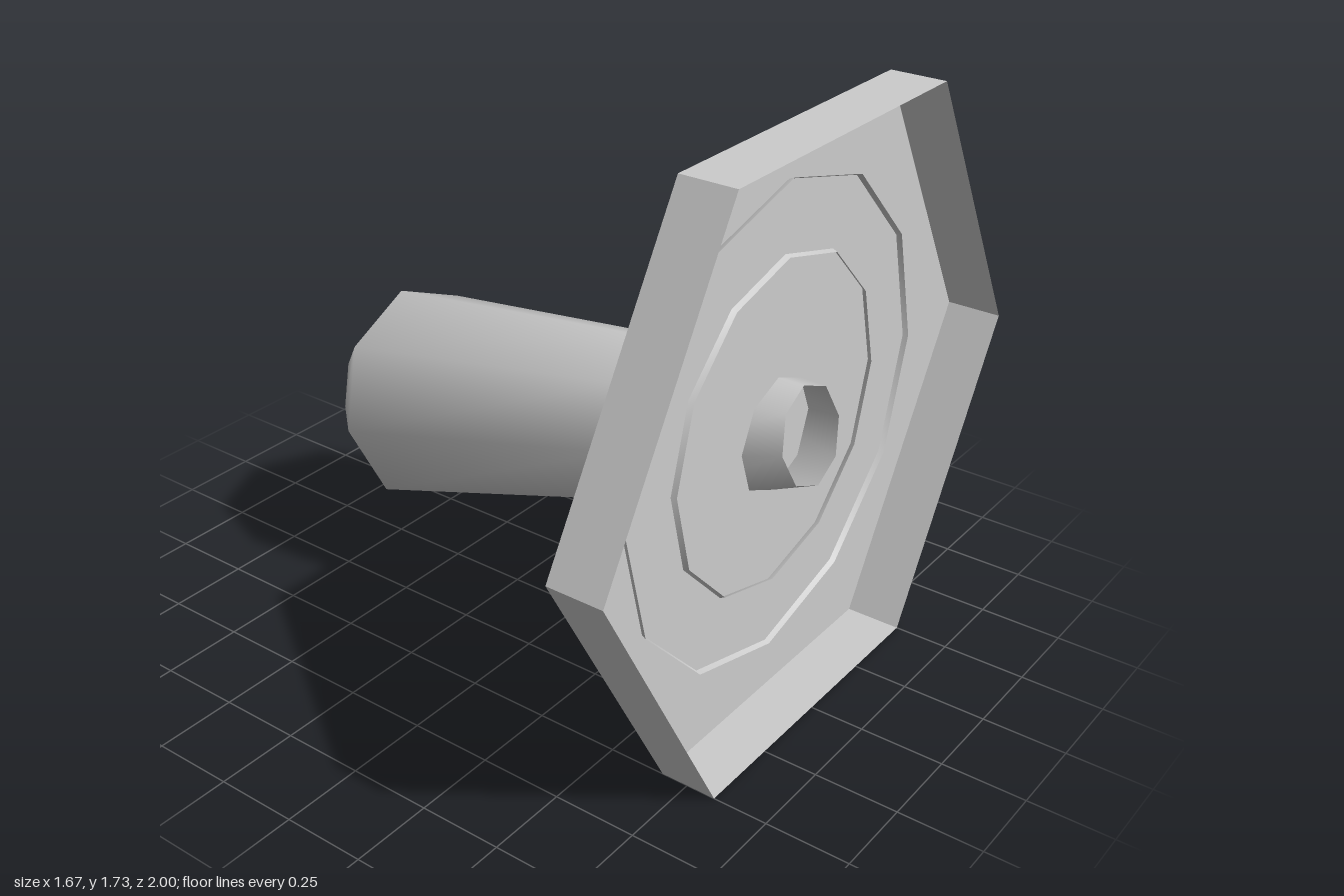
import * as THREE from 'three';

const HUB_Y = 0.866; // height of the plate's centre
const FLOOR_X = 0.67, RIM_X = 0.837;

function material(flatShading) {
  return new THREE.MeshStandardMaterial({ color: 0xcccccc, side: THREE.DoubleSide, flatShading });
}

function addMesh(group, name, geometry, flat = false) {
  const mesh = new THREE.Mesh(geometry, material(flat));
  mesh.name = name;
  group.add(mesh);
  return mesh;
}

export function createModel() {
  const model = new THREE.Group();
  model.name = 'handleOnPlate';

  // Six-sided tray, open towards +x
  const tray = new THREE.Group();
  tray.name = 'tray';
  model.add(tray);
  const depth = RIM_X - FLOOR_X;
  const wall = new THREE.CylinderGeometry(1, 1, depth, 6, 1, true);
  wall.rotateZ(-Math.PI / 2).translate(FLOOR_X + depth / 2, HUB_Y, 0);
  addMesh(tray, 'trayWall', wall, true);
  const floor = new THREE.CircleGeometry(1, 6);
  floor.rotateY(-Math.PI / 2).translate(FLOOR_X, HUB_Y, 0);
  addMesh(tray, 'trayFloor', floor, true);

  // Half-round ring on the back of the floor, its lips just piercing it
  const ringProfile = [];
  for (let i = 0; i <= 4; i++) {
    const a = Math.PI * (1 - i / 4);
    ringProfile.push(new THREE.Vector2(0.6 + 0.11 * Math.cos(a), 0.685 - 0.11 * Math.sin(a)));
  }
  const ring = new THREE.LatheGeometry(ringProfile, 12);
  ring.rotateZ(-Math.PI / 2).translate(0, HUB_Y, 0);
  addMesh(model, 'ring', ring);

  // Tilted eight-sided handle: blunt tip, widest ring, taper, open end inside the tray
  const handleProfile = [[0, -0.177], [0.174, -0.177], [0.335, 0], [0.247, 0.959], [0.145, 1.44]]
    .map(([r, s]) => new THREE.Vector2(r, s));
  const handle = addMesh(model, 'handle', new THREE.LatheGeometry(handleProfile, 8));
  handle.position.set(-0.627, 0.557, 0);
  handle.rotation.z = 0.2155 - Math.PI / 2;

  return model;
}
